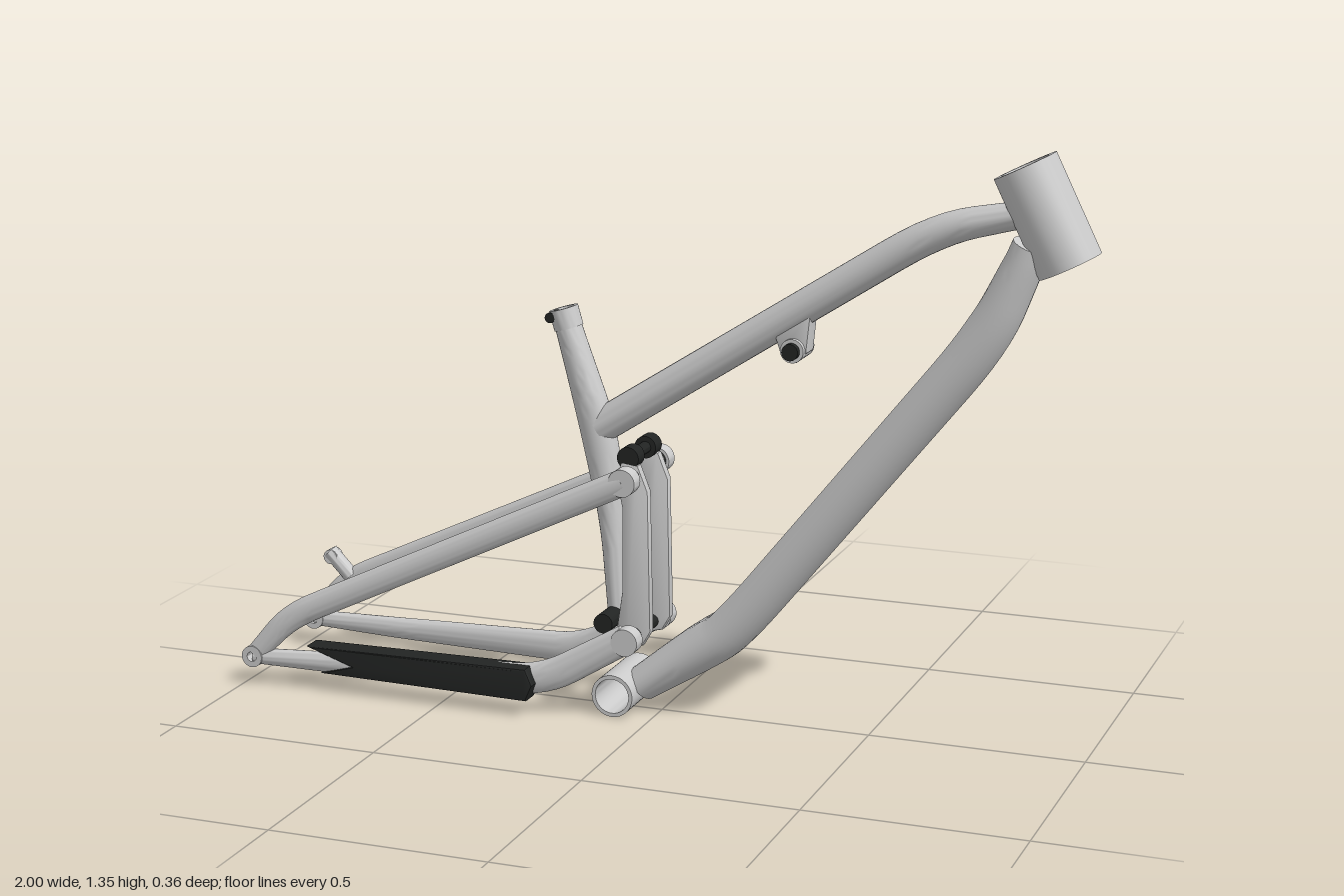
import * as THREE from 'three';
import { toCreasedNormals } from 'three/addons/utils/BufferGeometryUtils.js';

const grey = new THREE.MeshStandardMaterial({ color: 0xcccccc });
const black = new THREE.MeshStandardMaterial({ color: 0x222423 });
const Z = new THREE.Vector3(0, 0, 1);

function add(parent, name, geometry, material = grey) {
  const mesh = new THREE.Mesh(toCreasedNormals(geometry, 0.6), material);
  mesh.name = name;
  parent.add(mesh);
  return mesh;
}

// Replace each corner of a path with a short curve
function roundPath(points, cut) {
  const mix = (a, b, t) => a.map((v, k) => v + (b[k] - v) * t);
  const dist = (a, b) => Math.hypot(a[0] - b[0], a[1] - b[1], a[2] - b[2]);
  const out = [points[0]];
  for (let i = 1; i < points.length - 1; i++) {
    const p = points[i];
    const ends = [points[i - 1], points[i + 1]].map(q => mix(p, q, Math.min(0.45, cut / dist(p, q))));
    for (let s = 0; s <= 6; s++) {
      const t = s / 6;
      out.push(mix(mix(ends[0], p, t), mix(p, ends[1], t), t));
    }
  }
  out.push(points[points.length - 1]);
  return out;
}

// Oval tube along points [x, y, z, radius in side plane, radius in z, flat side level]
function oval(points, cut = 0.08, sides = 28) {
  const path = roundPath(points.map(p => (p.length < 6 ? [...p, 1] : p)), cut);
  const pos = [], index = [];
  path.forEach((p, i) => {
    const a = path[Math.max(i - 1, 0)], b = path[Math.min(i + 1, path.length - 1)];
    const len = Math.hypot(b[0] - a[0], b[1] - a[1]);
    const nx = -(b[1] - a[1]) / len, ny = (b[0] - a[0]) / len;
    for (let j = 0; j < sides; j++) {
      const u = (j / sides) * Math.PI * 2;
      const r = Math.max(-p[5], Math.cos(u)) * p[3];
      pos.push(p[0] + nx * r, p[1] + ny * r, p[2] + Math.sin(u) * p[4]);
    }
  });
  const last = path.length - 1;
  const c0 = pos.length / 3;
  pos.push(...path[0].slice(0, 3), ...path[last].slice(0, 3));
  for (let j = 0; j < sides; j++) {
    const k = (j + 1) % sides;
    for (let i = 0; i < last; i++) {
      const a = i * sides + j, b = i * sides + k;
      index.push(a, b, a + sides, b, b + sides, a + sides);
    }
    index.push(c0, k, j, c0 + 1, last * sides + j, last * sides + k);
  }
  const g = new THREE.BufferGeometry();
  g.setAttribute('position', new THREE.Float32BufferAttribute(pos, 3));
  g.setIndex(index);
  return g;
}

// Round part between two points, hollow when inner > 0
function round(from, to, outer, inner = 0) {
  const a = new THREE.Vector3(...from), d = new THREE.Vector3(...to).sub(a);
  const L = d.length();
  const profile = [[inner, 0], [outer, 0], [outer, L], [inner, L]];
  if (inner) profile.push([inner, 0]);
  const g = new THREE.LatheGeometry(profile.map(p => new THREE.Vector2(...p)), 32);
  g.applyQuaternion(new THREE.Quaternion().setFromUnitVectors(new THREE.Vector3(0, 1, 0), d.normalize()));
  return g.translate(a.x, a.y, a.z);
}

// Cylinder across the frame
const cross = (x, y, z0, z1, r, inner) => round([x, y, z0], [x, y, z1], r, inner);

// Side-plane outline with thickness
function plate(points, z0, z1, bevel = 0.006) {
  const shape = new THREE.Shape(points.map(p => new THREE.Vector2(...p)));
  return new THREE.ExtrudeGeometry(shape, {
    depth: z1 - z0 - 2 * bevel, bevelEnabled: true, bevelThickness: bevel,
    bevelSize: bevel, bevelOffset: -bevel, bevelSegments: 2,
  }).translate(0, 0, z0 + bevel);
}

export function createModel() {
  const root = new THREE.Group();
  root.name = 'bicycleFrame';

  // Main frame
  const front = new THREE.Group();
  front.name = 'frontTriangle';
  root.add(front);
  add(front, 'headTube', round([0.93, 1.11, 0], [0.825, 1.322, 0], 0.073, 0.056));
  add(front, 'downTube', oval([
    [0.845, 1.15, 0, 0.042, 0.055], [0.825, 1.1, 0, 0.045, 0.058, 0.9],
    [0.75, 0.945, 0, 0.06, 0.062, 0.75], [0.17, 0.22, 0, 0.06, 0.062, 0.75],
    [0.1, 0.165, 0, 0.055, 0.062], [-0.045, 0.062, 0, 0.042, 0.058],
  ], 0.13));
  add(front, 'topTube', oval([
    [0.82, 1.215, 0, 0.03, 0.035], [0.64, 1.175, 0, 0.038, 0.037], [-0.15, 0.665, 0, 0.04, 0.037],
  ], 0.12));
  add(front, 'seatTube', oval([
    [-0.23, 0.9, 0, 0.03, 0.033], [-0.205, 0.82, 0, 0.034, 0.034], [-0.155, 0.66, 0, 0.044, 0.036],
    [-0.118, 0.44, 0, 0.031, 0.035], [-0.105, 0.23, 0, 0.026, 0.035],
  ]));
  add(front, 'seatCollar', round([-0.227, 0.89, 0], [-0.24, 0.935, 0], 0.034, 0.025));
  add(front, 'collarBolt', cross(-0.262, 0.915, -0.03, 0.03, 0.012), black);
  add(front, 'bottomBracketShell', cross(-0.09, 0.05, -0.09, 0.09, 0.05, 0.041));

  // Shock mount under the top tube
  add(front, 'shockMount', plate([[0.27, 0.93], [0.36, 0.98], [0.35, 0.88], [0.325, 0.855], [0.29, 0.87]], -0.028, 0.028));
  add(front, 'shockMountBarrel', cross(0.32, 0.885, -0.04, 0.04, 0.027));
  add(front, 'shockMountBolt', cross(0.32, 0.885, -0.055, 0.055, 0.019), black);

  // Rear suspension, one half per side
  for (const s of [1, -1]) {
    const side = new THREE.Group();
    side.name = s > 0 ? 'rearSideFront' : 'rearSideBack';
    root.add(side);
    add(side, 'seatStay', oval([
      [-0.05, 0.57, 0.113 * s, 0.031, 0.018], [-0.88, 0.175, 0.155 * s, 0.031, 0.018],
      [-0.97, 0.075, 0.16 * s, 0.024, 0.017],
    ], 0.07));
    add(side, 'chainStay', oval([
      [-0.045, 0.2, 0.11 * s, 0.034, 0.018], [-0.245, 0.082, 0.124 * s, 0.038, 0.018],
      [-0.75, 0.071, 0.148 * s, 0.026, 0.017], [-0.975, 0.068, 0.16 * s, 0.019, 0.015],
    ], 0.07));
    add(side, 'dropout', cross(-0.974, 0.07, s * 0.16 - 0.018, s * 0.16 + 0.018, 0.026, 0.012));
    const z = [0.052, 0.077].map(v => v * s).sort((a, b) => a - b);
    add(side, 'rockerLink', plate([
      [-0.085, 0.57], [-0.07, 0.605], [-0.03, 0.6], [-0.006, 0.54], [0, 0.21], [-0.02, 0.175],
      [-0.06, 0.165], [-0.085, 0.2], [-0.07, 0.3], [-0.07, 0.5],
    ], z[0], z[1]));

    // Pivots
    for (const [x, y] of [[-0.05, 0.57], [-0.045, 0.195]]) {
      add(side, 'stayPivot', cross(x, y, 0.092 * s, 0.13 * s, 0.032));
      add(side, 'pivotSpacer', cross(x, y, 0.07 * s, 0.1 * s, 0.025), black);
    }
    add(side, 'shockBolt', cross(-0.055, 0.615, 0.035 * s, 0.075 * s, 0.026), black);
    add(side, 'seatTubePivot', cross(-0.108, 0.225, 0.03 * s, 0.098 * s, 0.023), black);
  }
  add(root, 'shockAxle', cross(-0.055, 0.615, -0.07, 0.07, 0.014), black);
  add(root, 'linkAxle', cross(-0.045, 0.195, -0.07, 0.07, 0.016), black);

  // Chain guard on one stay, brake peg on the other
  add(root, 'chainStayGuard', plate([
    [-0.835, 0.108], [-0.275, 0.116], [-0.258, 0.078], [-0.275, 0.038], [-0.8, 0.046], [-0.72, 0.07],
  ], 0.108, 0.166), black);
  add(root, 'brakePeg', round([-0.87, 0.19, -0.15], [-0.922, 0.25, -0.142], 0.019));
  add(root, 'brakePegHead', cross(-0.915, 0.238, -0.16, -0.128, 0.018));
  return root;
}
